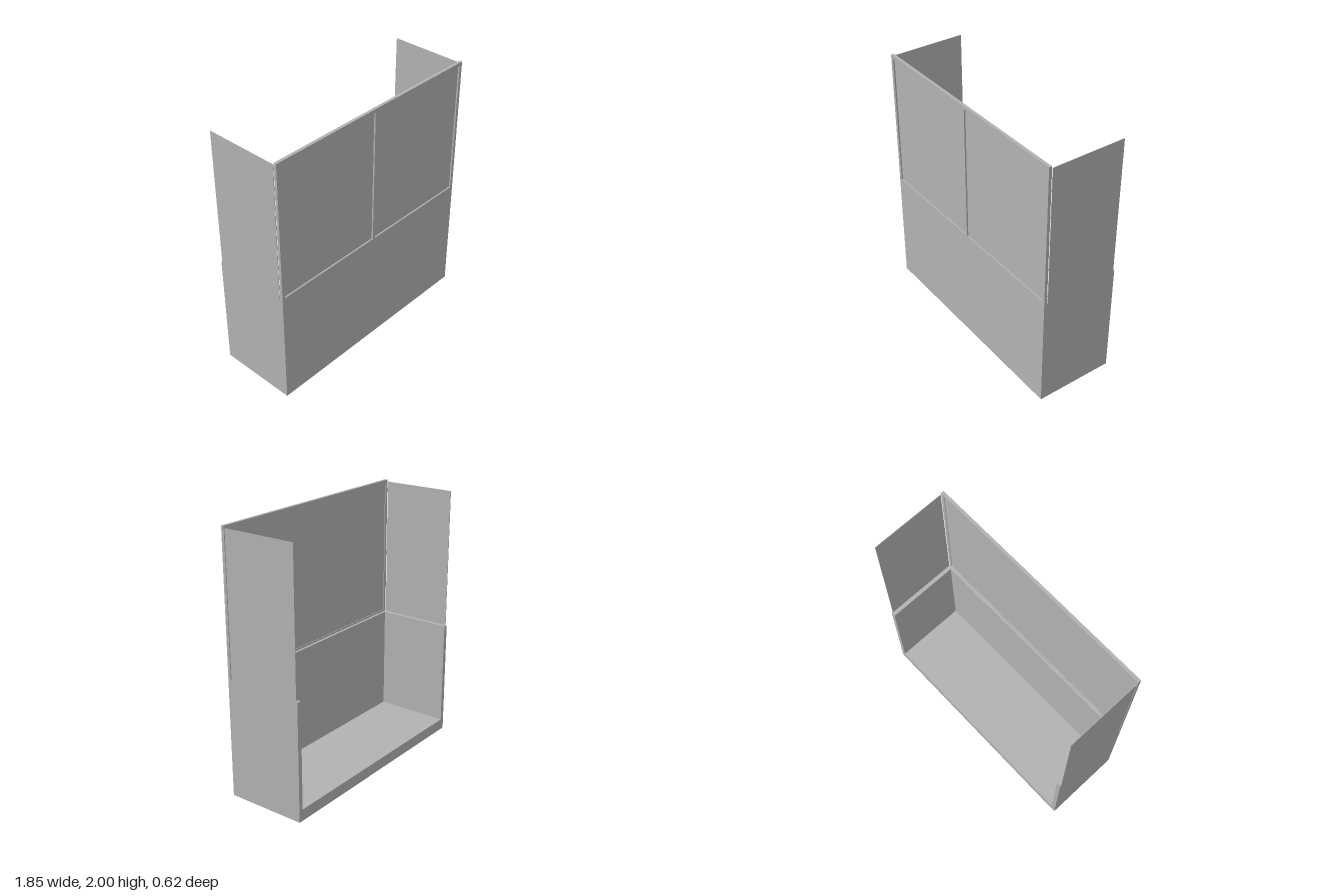
import * as THREE from 'three';

const HALF_W = 0.925, BACK = -0.31, FRONT = 0.31;
const BASE_H = 0.905, TOP = 2, WALL = 0.035, FLOOR = 0.088;
const FRAME_BACK = 0.287, WALL_BACK = 0.267;

export function createModel() {
  const model = new THREE.Group();
  model.name = 'counterWithScreen';
  const grey = new THREE.MeshStandardMaterial({ color: 0xb2b2b2 });
  grey.name = 'grey';

  // Box given by its extents along each axis
  function slab(parent, name, x0, x1, y0, y1, z0, z1) {
    const mesh = new THREE.Mesh(new THREE.BoxGeometry(x1 - x0, y1 - y0, z1 - z0), grey);
    mesh.position.set((x0 + x1) / 2, (y0 + y1) / 2, (z0 + z1) / 2);
    mesh.name = name;
    parent.add(mesh);
  }

  // Solid with a flat outline, extruded along z from z0 to z1
  function extruded(parent, name, shape, z0, z1) {
    const geometry = new THREE.ExtrudeGeometry(shape, { depth: z1 - z0, bevelEnabled: false });
    const mesh = new THREE.Mesh(geometry, grey);
    mesh.position.z = z0;
    mesh.name = name;
    parent.add(mesh);
  }

  function outline(points) {
    return points.map(([x, y]) => new THREE.Vector2(x, y));
  }

  function rectangle(x0, x1, y0, y1) {
    return outline([[x0, y0], [x1, y0], [x1, y1], [x0, y1]]);
  }

  // Base: floor and side walls as one U section, closed by the front wall
  const base = new THREE.Group();
  base.name = 'base';
  model.add(base);
  const inner = HALF_W - WALL;
  extruded(base, 'floorAndSides', new THREE.Shape(outline([
    [-HALF_W, 0], [HALF_W, 0], [HALF_W, BASE_H], [inner, BASE_H],
    [inner, FLOOR], [-inner, FLOOR], [-inner, BASE_H], [-HALF_W, BASE_H],
  ])), BACK, WALL_BACK);
  slab(base, 'frontWall', -HALF_W, HALF_W, 0, BASE_H, WALL_BACK, FRONT);

  // Front screen: outer frame, centre bar and two recessed panes
  const screen = new THREE.Group();
  screen.name = 'frontScreen';
  model.add(screen);
  const openX = 0.9, openY0 = 0.92, openY1 = 1.975;
  const paneBack = 0.292, paneFront = 0.298;
  const frame = new THREE.Shape(rectangle(-HALF_W, HALF_W, BASE_H, TOP));
  frame.holes.push(new THREE.Path(rectangle(-openX, openX, openY0, openY1)));
  extruded(screen, 'frame', frame, FRAME_BACK, FRONT);
  slab(screen, 'centreBar', -0.013, 0.013, openY0, openY1, paneFront, FRONT);

  for (const side of [-1, 1]) {
    const label = side > 0 ? 'left' : 'right';
    slab(screen, label + 'Pane', Math.min(0, side * openX), Math.max(0, side * openX),
      openY0, openY1, paneBack, paneFront);

    // Thin side screens, flush with the outside of the base
    const outer = side * HALF_W, within = side * (HALF_W - 0.004);
    slab(model, label + 'SideScreen', Math.min(outer, within), Math.max(outer, within),
      BASE_H, 1.985, -0.3, 0.28);
  }
  return model;
}
